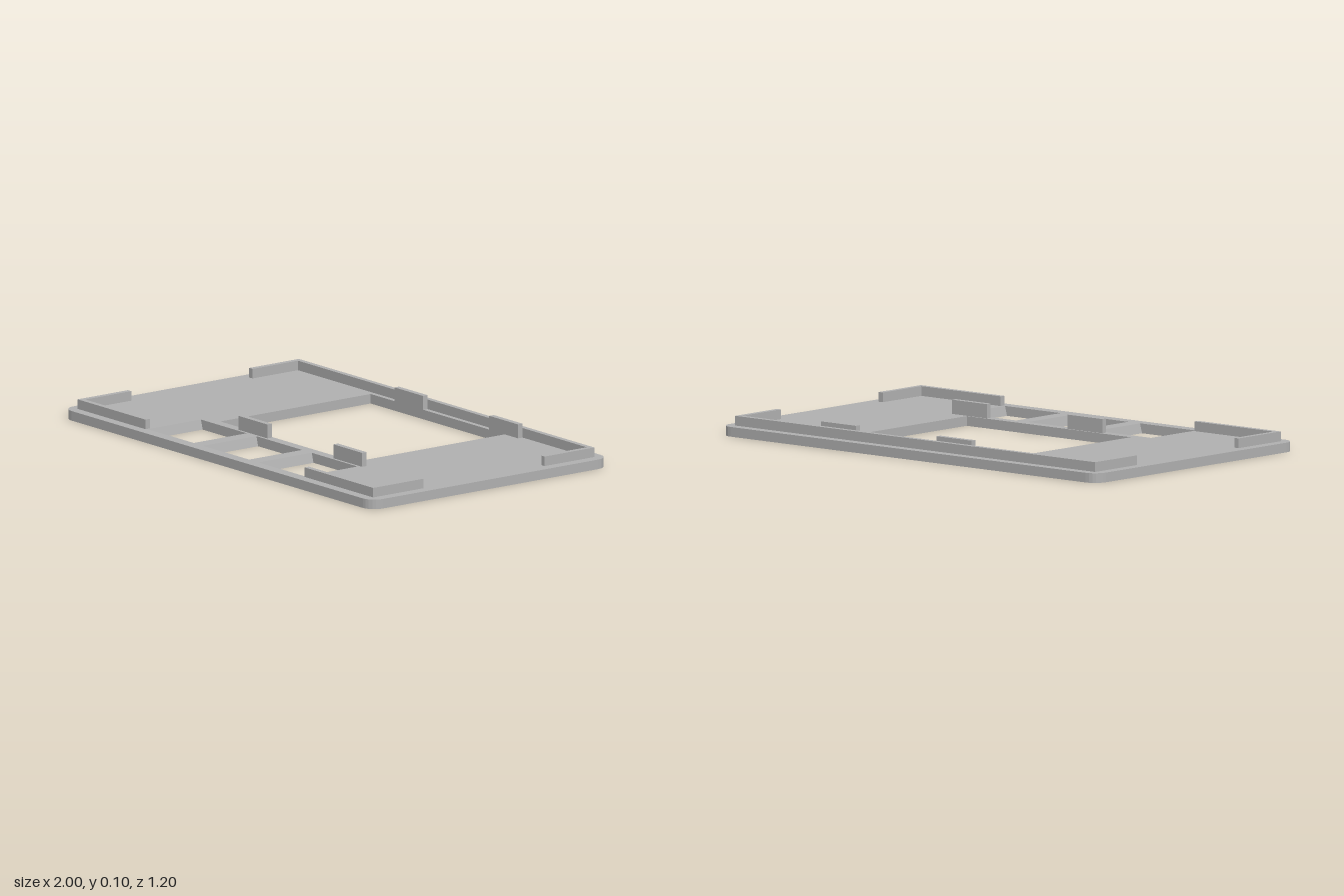
import * as THREE from 'three';

const BASE = 0.039; // plate thickness

function rectHole(x0, x1, z0, z1) {
  // shape y is -z, so the plate can be laid flat
  const p = new THREE.Path();
  p.moveTo(x0, -z0);
  p.lineTo(x1, -z0);
  p.lineTo(x1, -z1);
  p.lineTo(x0, -z1);
  p.closePath();
  return p;
}

export function createModel() {
  const group = new THREE.Group();
  group.name = 'bezelFrame';
  const grey = new THREE.MeshStandardMaterial({ color: 0xb0b0b0 });
  grey.name = 'grey plastic';

  // Plate outline with rounded corners
  const w = 1, d = 0.601, r = 0.057;
  const outline = new THREE.Shape();
  outline.absarc(w - r, d - r, r, 0, Math.PI / 2);
  outline.absarc(-w + r, d - r, r, Math.PI / 2, Math.PI);
  outline.absarc(-w + r, -d + r, r, Math.PI, Math.PI * 1.5);
  outline.absarc(w - r, -d + r, r, Math.PI * 1.5, Math.PI * 2);
  outline.closePath();

  // Screen window and three button openings
  const buttons = [-0.362, -0.003, 0.355];
  const halfTop = 0.148, halfBottom = 0.137, z0 = 0.284, z1 = 0.552;
  outline.holes.push(rectHole(-0.437, 0.433, -0.516, 0.243));
  for (const x of buttons) outline.holes.push(rectHole(x - halfTop, x + halfTop, z0, z1));

  const plateGeo = new THREE.ExtrudeGeometry(outline, { depth: BASE, bevelEnabled: false, curveSegments: 3 });
  plateGeo.rotateX(-Math.PI / 2);

  // Button openings narrow slightly towards the underside
  const pos = plateGeo.attributes.position;
  for (let i = 0; i < pos.count; i++) {
    const x = pos.getX(i), z = pos.getZ(i);
    if (pos.getY(i) > BASE / 2 || z < z0 - 0.001 || z > z1 + 0.001) continue;
    for (const c of buttons) {
      if (Math.abs(Math.abs(x - c) - halfTop) < 0.001) pos.setX(i, c + Math.sign(x - c) * halfBottom);
    }
  }
  plateGeo.computeVertexNormals();
  const plate = new THREE.Mesh(plateGeo, grey);
  plate.name = 'facePlate';
  group.add(plate);

  // Upright strips standing on the plate
  function strip(name, x0, x1, za, zb, top) {
    const mesh = new THREE.Mesh(new THREE.BoxGeometry(x1 - x0, top - BASE, zb - za), grey);
    mesh.position.set((x0 + x1) / 2, (top + BASE) / 2, (za + zb) / 2);
    mesh.name = name;
    group.add(mesh);
  }

  // Locating rim: full back wall, corner returns and short front walls
  const rimTop = 0.078, t = 0.022, rx = 0.956, rz = 0.559;
  strip('backRim', -rx, rx, -rz, -rz + t, rimTop);
  for (const s of [-1, 1]) {
    const side = s < 0 ? 'right' : 'left';
    const xa = s < 0 ? -rx : rx - t;
    strip(side + 'BackReturn', xa, xa + t, -rz + t, -0.308, rimTop);
    strip(side + 'FrontReturn', xa, xa + t, 0.305, rz - t, rimTop);
    strip(side + 'FrontRim', s < 0 ? -rx : 0.513, s < 0 ? -0.517 : rx, rz - t, rz, rimTop);
  }

  // Taller tabs either side of the window
  for (const [x0, x1] of [[-0.28, -0.095], [0.333, 0.519]]) {
    strip('backTab', x0, x1, -rz + t, -0.514, 0.096);
    strip('frontTab', x0, x1, 0.25, 0.273, 0.096);
  }
  return group;
}
